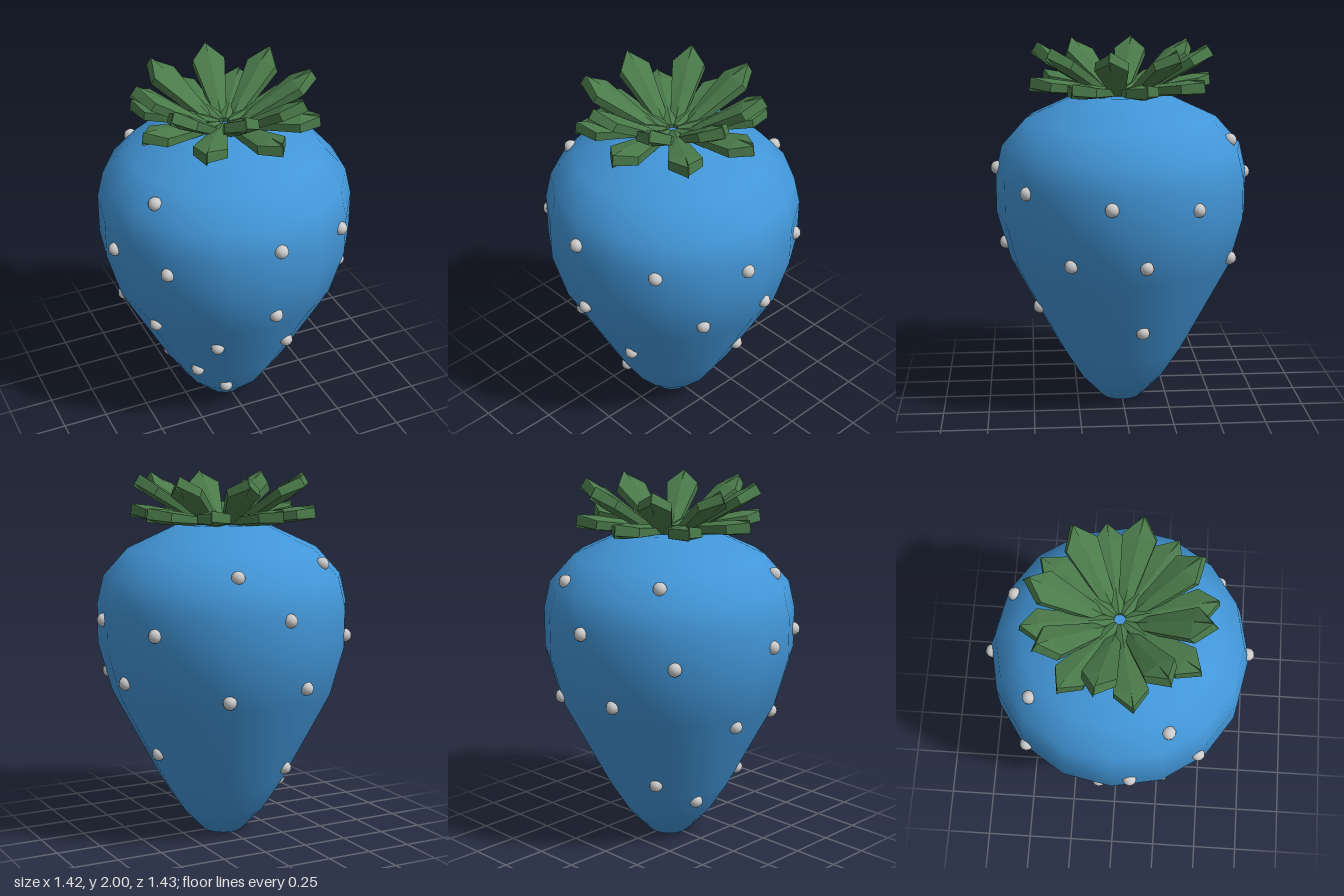
import * as THREE from 'three';

// Body outline as [radius, height]
const PROFILE = [
  [0, 0], [0.11, 0], [0.235, 0.13], [0.35, 0.31], [0.615, 0.81], [0.69, 1.08],
  [0.69, 1.3], [0.655, 1.45], [0.52, 1.6], [0.24, 1.73], [0, 1.73],
];

// Seeds as [degrees from front towards +x, height]
const SEEDS = [
  [160, 1.5], [220, 1.53], [299, 1.52],
  [1, 1.33], [40, 1.27], [82, 1.23], [122, 1.2], [183, 1.28], [227, 1.14], [278, 1.18], [311, 1.19],
  [1, 0.91], [62, 0.91], [98, 0.91], [156, 0.86], [197, 0.9], [262, 0.76], [297, 0.76],
  [332, 0.65], [20, 0.58], [101, 0.5], [313, 0.37], [214, 0.4], [252, 0.27], [338, 0.2],
];

function radiusAt(y) {
  for (let i = 2; i < PROFILE.length; i++) {
    const [r0, y0] = PROFILE[i - 1], [r1, y1] = PROFILE[i];
    if (y <= y1) return r0 + (r1 - r0) * (y - y0) / (y1 - y0);
  }
  return 0;
}

// Leaf pointing along +z: six-sided sections [length, half width, half thickness],
// ridged above and below, ending in a point
function leafGeometry(length) {
  const stations = [[0, 0.02, 0.02], [0.3, 0.045, 0.03], [0.8, 0.088, 0.04], [1, 0.002, 0.036]];
  const pos = [], index = [];
  for (const [t, w, h] of stations) {
    const z = t * length, s = h * 0.6;
    pos.push(0, h, z, w, s, z, w, -s, z, 0, -h, z, -w, -s, z, -w, s, z);
  }
  for (let i = 0; i < stations.length - 1; i++) {
    for (let j = 0; j < 6; j++) {
      const a = i * 6 + j, b = i * 6 + (j + 1) % 6;
      index.push(a, a + 6, b, b, a + 6, b + 6);
    }
  }
  const end = (stations.length - 1) * 6;
  for (let j = 1; j < 5; j++) {
    index.push(0, j, j + 1, end, end + j + 1, end + j);
  }
  const g = new THREE.BufferGeometry();
  g.setAttribute('position', new THREE.Float32BufferAttribute(pos, 3));
  g.setIndex(index);
  const flat = g.toNonIndexed();
  flat.computeVertexNormals();
  return flat;
}

export function createModel() {
  const model = new THREE.Group();
  model.name = 'berry';
  const blue = new THREE.MeshStandardMaterial({ color: 0x4296d8 });
  const green = new THREE.MeshStandardMaterial({ color: 0x4a7a4a, flatShading: true, side: THREE.DoubleSide });
  const grey = new THREE.MeshStandardMaterial({ color: 0xcccccc });

  // Fruit body
  const body = new THREE.Mesh(
    new THREE.LatheGeometry(PROFILE.map(([r, y]) => new THREE.Vector2(r, y)), 16), blue);
  body.name = 'body';
  model.add(body);

  // Seeds set half into the skin
  const seeds = new THREE.Group();
  seeds.name = 'seeds';
  const seedGeometry = new THREE.SphereGeometry(0.037, 10, 8);
  for (const [deg, y] of SEEDS) {
    const seed = new THREE.Mesh(seedGeometry, grey);
    const a = THREE.MathUtils.degToRad(deg);
    // Follow the flat sides of the 16-sided body
    const step = Math.PI / 8;
    const off = ((a % step) + step) % step - step / 2;
    const r = radiusAt(y) * Math.cos(step / 2) / Math.cos(off);
    seed.position.set(r * Math.sin(a), y, r * Math.cos(a));
    seed.name = 'seed';
    seeds.add(seed);
  }
  model.add(seeds);

  // Crown: a raised ring and a nearly flat ring of eight leaves, alternating
  const rings = [
    { name: 'upperLeaf', turn: 33.75, slope: 0.56, length: 0.53, start: 0.03, y: 1.69 },
    { name: 'lowerLeaf', turn: 11.25, slope: 0.13, length: 0.48, start: 0.03, y: 1.735 },
  ];
  for (const ring of rings) {
    const geometry = leafGeometry(ring.length);
    for (let i = 0; i < 8; i++) {
      const holder = new THREE.Group();
      holder.name = ring.name;
      holder.rotation.y = THREE.MathUtils.degToRad(ring.turn + i * 45);
      const leaf = new THREE.Mesh(geometry, green);
      leaf.name = ring.name;
      leaf.position.set(0, ring.y, ring.start);
      leaf.rotation.x = -ring.slope;
      holder.add(leaf);
      model.add(holder);
    }
  }
  return model;
}
